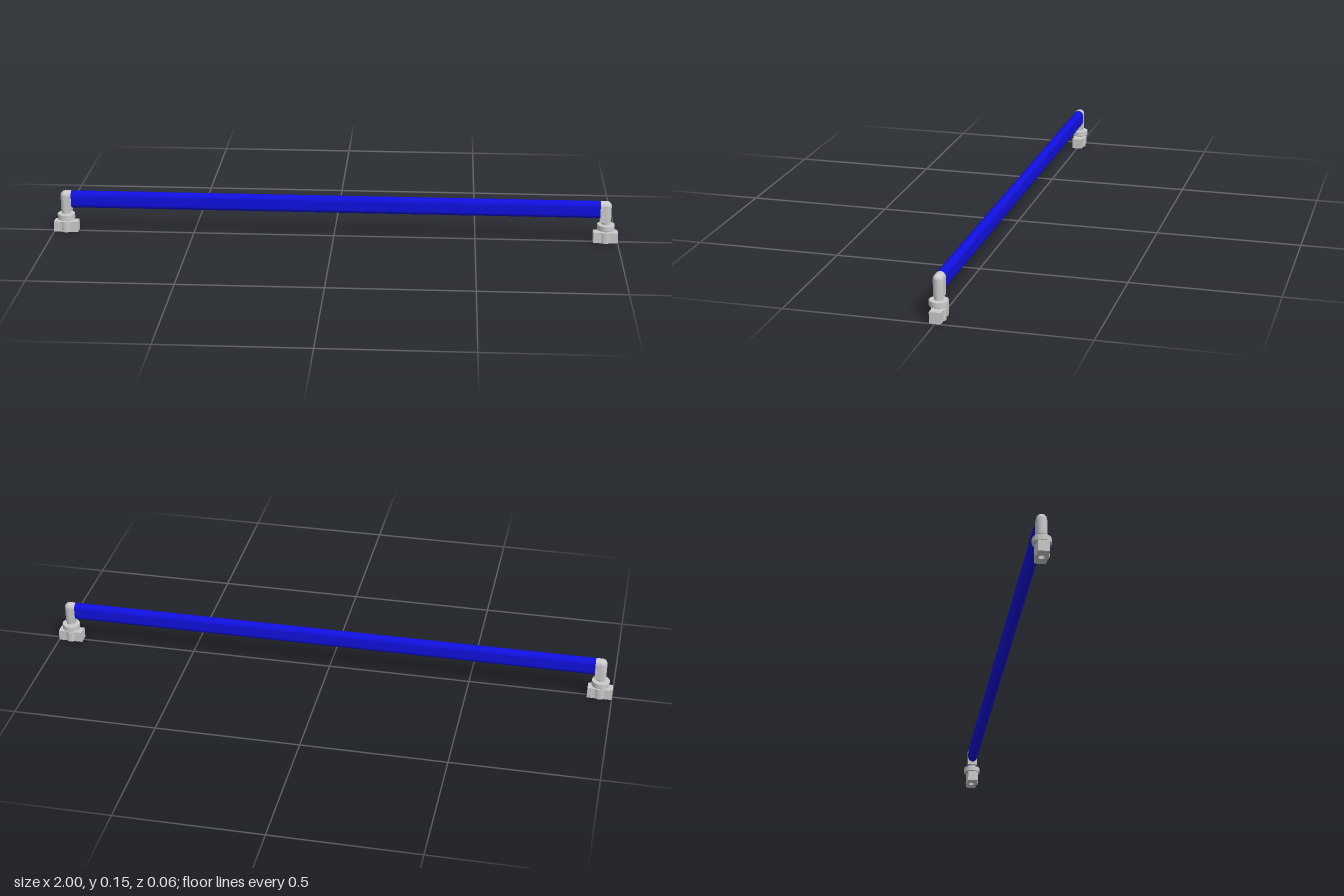
import * as THREE from 'three';

const grey = new THREE.MeshStandardMaterial({ color: 0xcccccc });
const blue = new THREE.MeshStandardMaterial({ color: 0x1010e0 });

const R = 0.0175;      // half width of the rail and posts
const TOP = 0.15;      // top of the rail
const END = 0.935;     // where the rail meets its end fittings
const POST_X = 0.957;  // centre of the posts

function add(parent, name, geometry, material = grey) {
  const mesh = new THREE.Mesh(geometry, material);
  mesh.name = name;
  parent.add(mesh);
  return mesh;
}

function lathe(points) {
  return new THREE.LatheGeometry(points.map(([r, y]) => new THREE.Vector2(r, y)), 40);
}

// Section in z and y, rounded on top and optionally below, run along x
function railSection(bottom, roundBottom, length) {
  const s = new THREE.Shape();
  s.moveTo(R, TOP - R);
  s.absarc(0, TOP - R, R, 0, Math.PI, false);
  if (roundBottom) {
    s.absarc(0, bottom + R, R, Math.PI, 2 * Math.PI, false);
  } else {
    s.lineTo(-R, bottom);
    s.lineTo(R, bottom);
  }
  s.closePath();
  const g = new THREE.ExtrudeGeometry(s, { depth: length, bevelEnabled: false, curveSegments: 20 });
  return g.rotateY(Math.PI / 2);
}

// Narrow clamping block with a round, bored middle
function blockGeometry() {
  const hx = 0.043, hz = 0.019, r = 0.024, height = 0.038;
  const a = Math.asin(hz / r);
  const s = new THREE.Shape();
  s.moveTo(hx, -hz);
  s.lineTo(hx, hz);
  s.absarc(0, 0, r, a, Math.PI - a, false);
  s.lineTo(-hx, hz);
  s.lineTo(-hx, -hz);
  s.absarc(0, 0, r, Math.PI + a, 2 * Math.PI - a, false);
  s.closePath();
  const hole = new THREE.Path();
  hole.absarc(0, 0, 0.011, 0, Math.PI * 2, true);
  s.holes.push(hole);
  const g = new THREE.ExtrudeGeometry(s, { depth: height, bevelEnabled: false, curveSegments: 20 });
  return g.rotateX(-Math.PI / 2);
}

function endFitting(name) {
  const fitting = new THREE.Group();
  fitting.name = name;

  // Upright post with a domed top
  const profile = [[0, 0.075], [R - 0.002, 0.075], [R, 0.077]];
  for (let i = 0; i <= 10; i++) {
    const t = (i / 10) * Math.PI / 2;
    profile.push([R * Math.cos(t), TOP - R + R * Math.sin(t)]);
  }
  add(fitting, 'post', lathe(profile));

  // Socket joining the post to the rail
  const socket = add(fitting, 'railSocket', railSection(0.076, false, POST_X - END));
  socket.position.x = END - POST_X;

  // Neck and collar below the post
  add(fitting, 'neck', new THREE.CylinderGeometry(0.015, 0.015, 0.014, 40)).position.y = 0.07;
  const c = 0.031, b = 0.002;
  const collar = new THREE.Shape();
  collar.absarc(0, 0, c - b, 0, Math.PI * 2, false);
  const collarGeometry = new THREE.ExtrudeGeometry(collar, {
    depth: 0.016, bevelSize: b, bevelThickness: b, bevelSegments: 2, curveSegments: 24
  }).rotateX(-Math.PI / 2);
  add(fitting, 'collar', collarGeometry).position.y = 0.048;

  // Separate block at the foot
  add(fitting, 'clampingBlock', blockGeometry());
  return fitting;
}

export function createModel() {
  const model = new THREE.Group();
  model.name = 'handrail';

  const rail = add(model, 'rail', railSection(0.088, true, 2 * END), blue);
  rail.position.x = -END;

  const left = endFitting('leftEndFitting');
  left.position.x = POST_X;
  const right = endFitting('rightEndFitting');
  right.position.x = -POST_X;
  right.rotation.y = Math.PI;
  model.add(left, right);
  return model;
}
